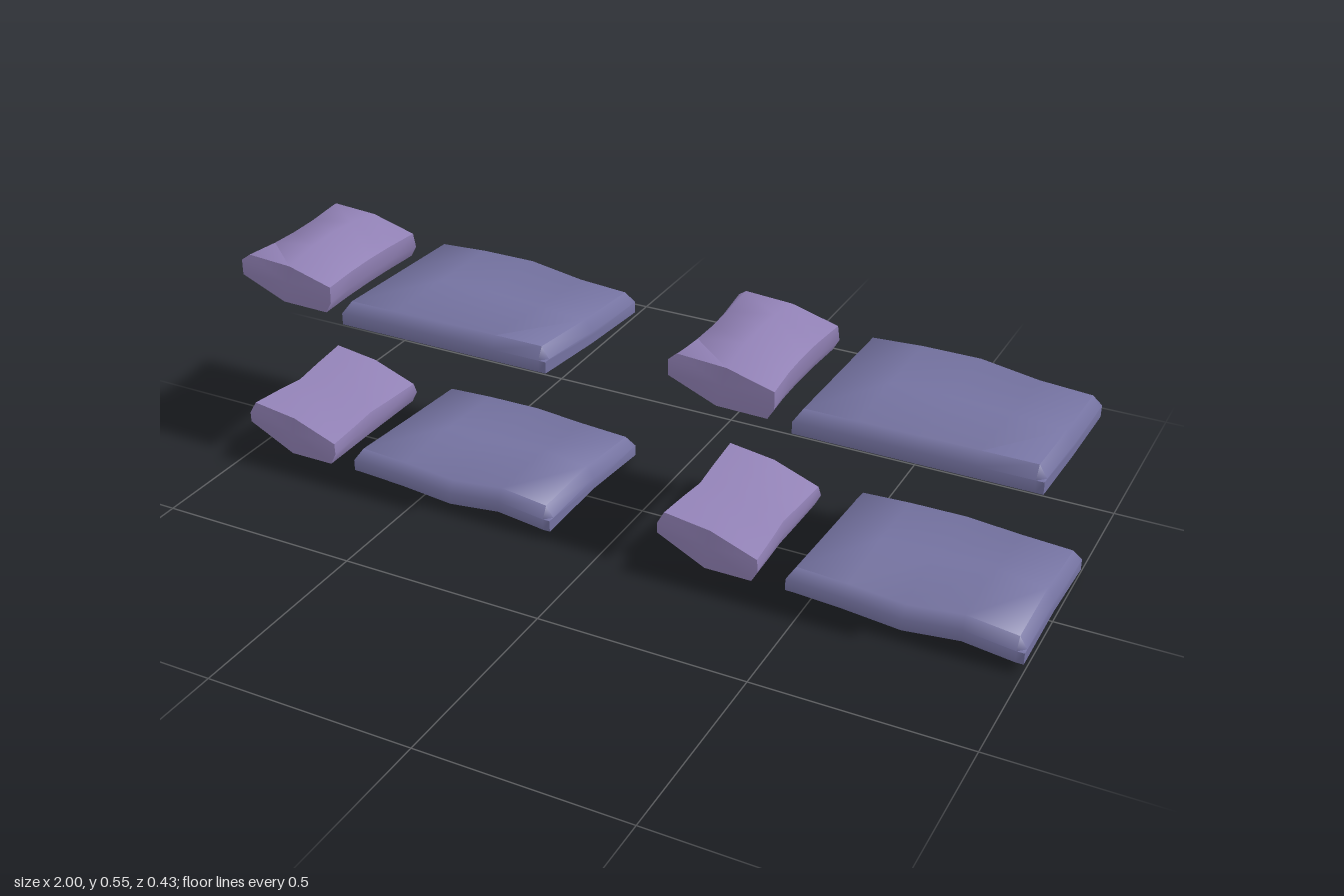
import * as THREE from 'three';
import { toCreasedNormals } from 'three/addons/utils/BufferGeometryUtils.js';

// Skin a list of closed rings (counter-clockwise about the loft direction) and cap both ends
function loft(rings, crease) {
  const n = rings[0].length, pos = rings.flat(2), index = [];
  for (let i = 0; i < rings.length - 1; i++) {
    for (let j = 0; j < n; j++) {
      const k = (j + 1) % n;
      const a = i * n + j, b = i * n + k, c = a + n, d = b + n;
      index.push(a, b, c, b, d, c);
    }
  }
  [0, rings.length - 1].forEach((r) => {
    const center = pos.length / 3;
    for (let a = 0; a < 3; a++) pos.push(rings[r].reduce((s, p) => s + p[a], 0) / n);
    for (let j = 0; j < n; j++) {
      const a = r * n + j, b = r * n + (j + 1) % n;
      index.push(center, ...(r === 0 ? [b, a] : [a, b]));
    }
  });
  const g = new THREE.BufferGeometry();
  g.setAttribute('position', new THREE.Float32BufferAttribute(pos, 3));
  g.setIndex(index);
  return toCreasedNormals(g, crease);
}

// Blanket: wavy slab; rows are underside heights at the front, middle and back
function blanketGeometry([front, mid, back]) {
  const xs = [-0.67, -0.652, -0.535, -0.4, -0.267, -0.148, -0.13];
  const column = [0, 0, 1, 2, 3, 4, 4];
  const rings = xs.map((x, i) => {
    const [f, m, b] = [front, mid, back].map((row) => row[column[i]]);
    const rim = 0.028, top = i === 0 || i === xs.length - 1 ? rim : 0.056;
    return [
      [x, f, 0.215], [x, m, 0], [x, b, -0.215], [x, b + rim, -0.215],
      [x, b + top, -0.198], [x, m + top, 0], [x, f + top, 0.198], [x, f + rim, 0.215],
    ];
  });
  return loft(rings, 1.1);
}

// Pillow: end profile blended towards a middle profile across its width
function pillowGeometry(end, middle, shoulder) {
  const stations = [[-0.182, 0], [-0.08, shoulder], [0, 1], [0.08, shoulder], [0.182, 0]];
  const rings = stations.map(([z, t]) => end.map(([x, y], j) => [
    x + (middle[j][0] - x) * t,
    y + (middle[j][1] - y) * t,
    z * (j >= 4 && j <= 6 ? 0.97 : 1),
  ]));
  return loft(rings, 0.85);
}

export function createModel() {
  const group = new THREE.Group();
  const pillowMat = new THREE.MeshStandardMaterial({ color: 0x9080b4 });
  pillowMat.name = 'lilac pillow fabric';
  const blanketMat = new THREE.MeshStandardMaterial({ color: 0x7472a0 });
  blanketMat.name = 'slate violet blanket fabric';

  const levels = [
    {
      name: 'lower',
      blanket: blanketGeometry([
        [0.045, 0.038, 0.025, 0.04, 0.025],
        [0.032, 0.036, 0.034, 0.041, 0.027],
        [0.02, 0.025, 0.026, 0.015, 0.008],
      ]),
      pillow: pillowGeometry(
        [[-1, 0.08], [-0.88, 0.02], [-0.765, 0.02], [-0.75, 0.05],
          [-0.755, 0.075], [-0.87, 0.118], [-0.985, 0.134], [-1, 0.105]],
        [[-0.995, 0.07], [-0.885, 0], [-0.775, 0.012], [-0.762, 0.05],
          [-0.768, 0.075], [-0.88, 0.105], [-0.98, 0.118], [-0.99, 0.1]],
        0.5),
    },
    {
      name: 'upper',
      blanket: blanketGeometry([
        [0.437, 0.437, 0.437, 0.437, 0.437],
        [0.431, 0.432, 0.432, 0.424, 0.416],
        [0.425, 0.431, 0.431, 0.41, 0.402],
      ]),
      pillow: pillowGeometry(
        [[-0.975, 0.487], [-0.86, 0.44], [-0.74, 0.438], [-0.725, 0.465],
          [-0.728, 0.502], [-0.84, 0.533], [-0.955, 0.54], [-0.975, 0.525]],
        [[-0.97, 0.48], [-0.86, 0.43], [-0.75, 0.435], [-0.737, 0.465],
          [-0.74, 0.5], [-0.84, 0.552], [-0.955, 0.53], [-0.967, 0.515]],
        0.8),
    },
  ];

  // Two bunks side by side, each with an upper and a lower set of bedding
  [0, 1.13].forEach((dx, i) => {
    levels.forEach((level) => {
      const set = new THREE.Group();
      set.name = `${level.name}Bedding${i + 1}`;
      set.position.x = dx;
      const blanket = new THREE.Mesh(level.blanket, blanketMat);
      blanket.name = 'blanket';
      const pillow = new THREE.Mesh(level.pillow, pillowMat);
      pillow.name = 'pillow';
      set.add(blanket, pillow);
      group.add(set);
    });
  });
  return group;
}
